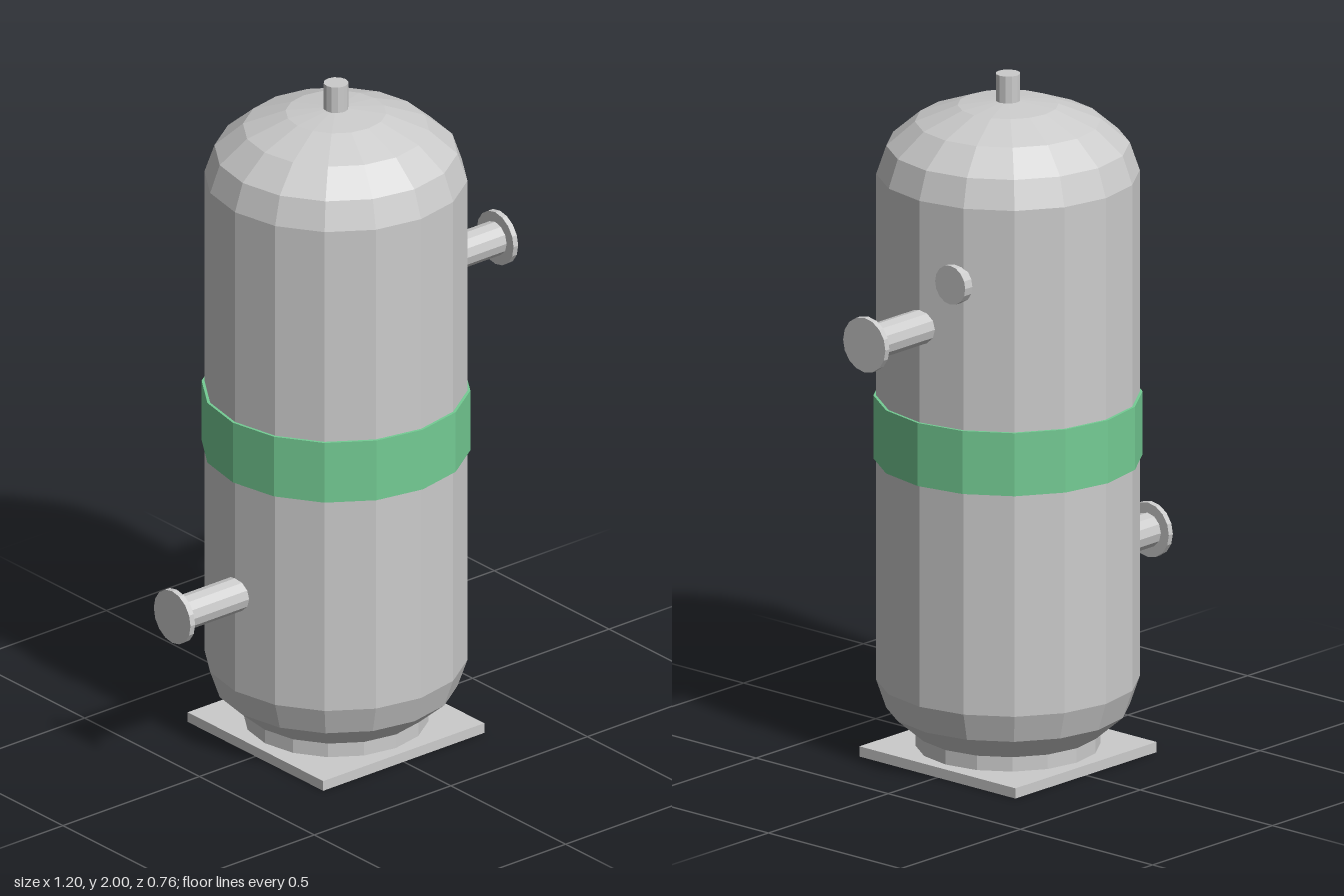
import * as THREE from 'three';

const SIDES = 16;
const RADIUS = 0.37;
const grey = new THREE.MeshStandardMaterial({ color: 0xcccccc, flatShading: true });
const green = new THREE.MeshStandardMaterial({ color: 0x74cc94, flatShading: true });

function add(parent, name, geometry, material = grey) {
  const mesh = new THREE.Mesh(geometry, material);
  mesh.name = name;
  parent.add(mesh);
  return mesh;
}

// Upright cylinder between two heights
const post = (r, y0, y1, sides = SIDES) =>
  new THREE.CylinderGeometry(r, r, y1 - y0, sides).translate(0, (y0 + y1) / 2, 0);

// Cylinder lying along x between two positions
const bar = (r, x0, x1, sides) => post(r, x0, x1, sides).rotateZ(-Math.PI / 2);

// Shell with shallow elliptical heads at both ends
function vesselProfile(bottom, top, headHeight) {
  const points = [];
  const steps = 4;
  for (let i = 0; i <= steps; i++) {
    const a = (i / steps) * Math.PI / 2;
    points.push(new THREE.Vector2(RADIUS * Math.sin(a), bottom - headHeight * Math.cos(a)));
  }
  for (let i = steps; i >= 0; i--) {
    const a = (i / steps) * Math.PI / 2;
    points.push(new THREE.Vector2(RADIUS * Math.sin(a), top + headHeight * Math.cos(a)));
  }
  return points;
}

// Pipe stub with an end flange, pointing along +x
function nozzle(name, y) {
  const group = new THREE.Group();
  group.name = name;
  add(group, 'pipe', bar(0.05, 0.33, 0.59, 12));
  add(group, 'flange', bar(0.08, 0.583, 0.6, 16));
  group.position.y = y;
  return group;
}

export function createModel() {
  const model = new THREE.Group();
  model.name = 'pressureVessel';

  // Foot
  add(model, 'basePlate', new THREE.BoxGeometry(0.59, 0.03, 0.59).translate(0, 0.015, 0));
  add(model, 'skirt', post(0.26, 0.03, 0.1));

  // Tank
  add(model, 'vessel', new THREE.LatheGeometry(vesselProfile(0.225, 1.71, 0.215), SIDES));
  add(model, 'colourBand', post(0.378, 0.875, 1.06), green);
  add(model, 'topVent', post(0.035, 1.9, 2, 12));

  // Side connections
  model.add(nozzle('upperNozzle', 1.34));
  const lower = nozzle('lowerNozzle', 0.525);
  lower.rotation.y = Math.PI;
  model.add(lower);

  // Gauge beside the upper nozzle
  add(model, 'gauge', bar(0.057, 0.335, 0.365, 16)).position.set(0, 1.485, -0.112);

  return model;
}
